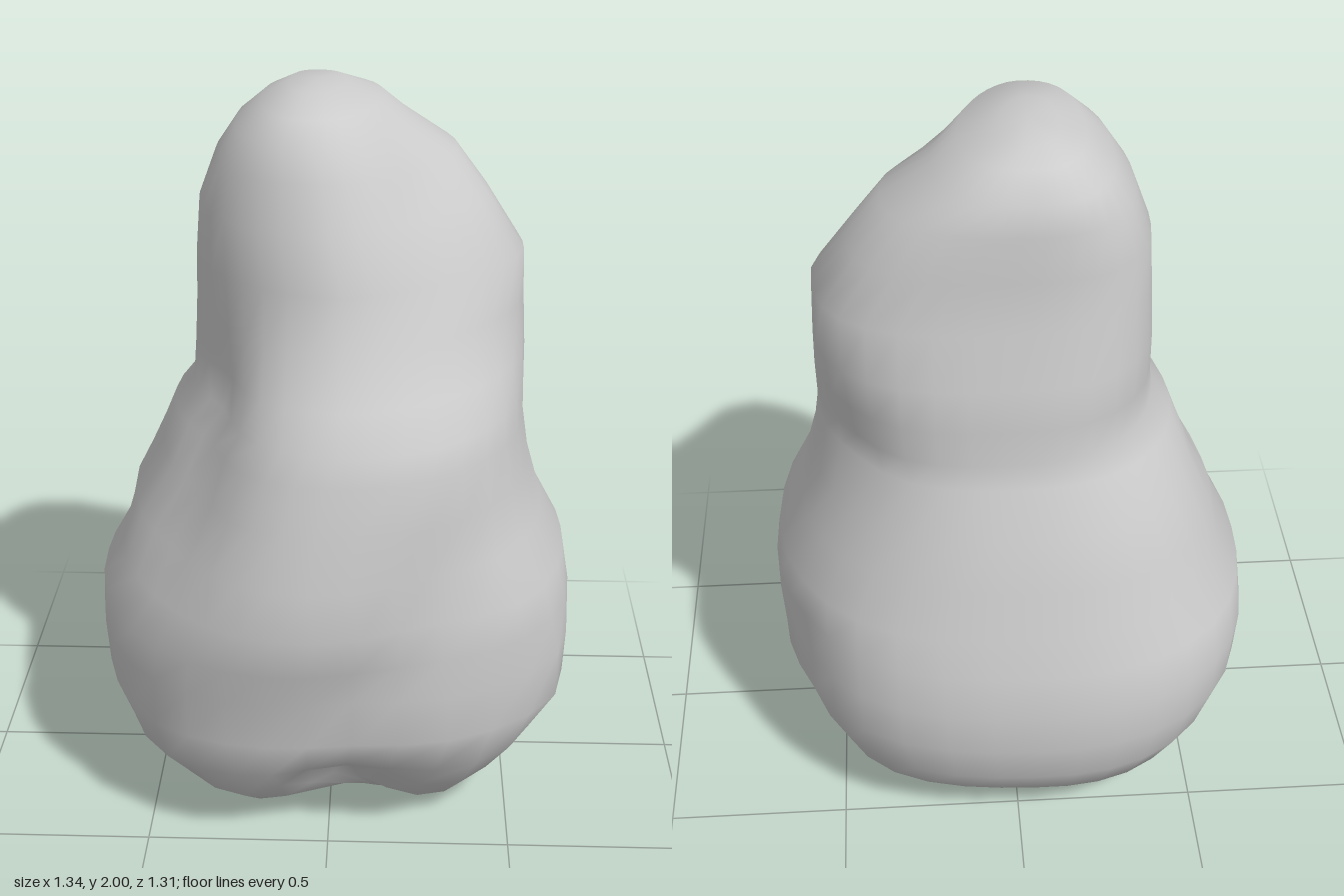
import * as THREE from 'three';

// Outline per level: [y, right x, left x, back z, front z]
const LEVELS = [
  [0.005, -0.06, 0.36, -0.24, 0.24],
  [0.07, -0.37, 0.46, -0.44, 0.40],
  [0.15, -0.54, 0.53, -0.58, 0.48],
  [0.26, -0.61, 0.60, -0.645, 0.58],
  [0.37, -0.66, 0.66, -0.655, 0.60],
  [0.50, -0.67, 0.67, -0.66, 0.61],
  [0.62, -0.66, 0.67, -0.63, 0.65],
  [0.73, -0.60, 0.65, -0.60, 0.66],
  [0.86, -0.575, 0.58, -0.56, 0.645],
  [1.00, -0.51, 0.54, -0.52, 0.61],
  [1.13, -0.45, 0.52, -0.46, 0.58],
  [1.20, -0.39, 0.52, -0.445, 0.55],
  [1.30, -0.38, 0.52, -0.44, 0.50],
  [1.42, -0.375, 0.515, -0.43, 0.41],
  [1.56, -0.37, 0.51, -0.39, 0.38],
  [1.70, -0.36, 0.42, -0.38, 0.33],
  [1.82, -0.315, 0.33, -0.37, 0.28],
  [1.90, -0.26, 0.20, -0.355, 0.24],
  [1.96, -0.19, 0.13, -0.29, 0.19],
  [1.99, -0.12, 0.03, -0.23, 0.04],
];

// Local hollows (negative) and swellings: [x, y, z, radius, amount]
const DENTS = [
  [0.26, 0.74, 0.54, 0.19, -0.07],
  [0.08, 0.52, 0.60, 0.13, -0.03],
  [0.04, 0.14, 0.48, 0.16, -0.13],
  [-0.20, 0.10, 0.40, 0.13, 0.05],
  [0.36, 0.18, 0.34, 0.20, 0.05],
  [0.58, 0.42, 0.28, 0.18, 0.05],
  [0.36, 0.48, 0.48, 0.16, 0.02],
  [-0.42, 0.28, 0.40, 0.20, 0.03],
  [-0.40, 0.98, 0.40, 0.23, -0.10],
  [-0.34, 1.26, 0.28, 0.16, -0.05],
  [-0.50, 0.96, 0.08, 0.15, -0.04],
  [0.45, 1.20, -0.30, 0.15, -0.03],
  [0.58, 0.50, -0.34, 0.20, -0.04],
  [-0.22, 0.10, -0.32, 0.22, 0.03],
  [0.30, 0.10, -0.34, 0.18, 0.03],
  [0.26, 1.72, 0.14, 0.18, -0.05],
];

const SEGMENTS = 36;

// Squareness of the section in each quadrant
function exponent(y, c, s) {
  const { smoothstep } = THREE.MathUtils;
  const neck = smoothstep(y, 1.05, 1.45);
  const crown = smoothstep(y, 1.65, 1.9);
  if (s < 0) return 2.4 + 0.4 * neck * (1 - 0.6 * crown);
  if (c < 0) return 2.25 - 0.3 * neck + 0.55 * crown;
  return 2.25 - 0.7 * neck + 0.2 * crown;
}

function buildBoulder() {
  const positions = [];
  const indices = [];
  const last = LEVELS.length - 1;
  const p = new THREE.Vector3(), outward = new THREE.Vector3();

  LEVELS.forEach(([y, x0, x1, z0, z1]) => {
    // the front ridge runs slightly to the right of the middle
    const cx = THREE.MathUtils.lerp(x0, x1, 0.46);
    const cz = THREE.MathUtils.lerp(z0, z1, 0.46);
    for (let i = 0; i < SEGMENTS; i++) {
      const a = (i / SEGMENTS) * Math.PI * 2;
      const c = Math.cos(a), s = Math.sin(a);
      const n = exponent(y, c, s);
      const r = Math.pow(Math.abs(c) ** n + Math.abs(s) ** n, -1 / n);
      p.set(
        cx + c * r * (c > 0 ? x1 - cx : cx - x0),
        y,
        cz + s * r * (s > 0 ? z1 - cz : cz - z0));
      // dents and swellings, pushed along the outward direction
      let push = 0;
      for (const [dx, dy, dz, radius, amount] of DENTS) {
        const d2 = (p.x - dx) ** 2 + (p.y - dy) ** 2 + (p.z - dz) ** 2;
        push += amount * Math.exp(-d2 / (radius * radius));
      }
      outward.set(p.x - cx, y - THREE.MathUtils.clamp(y, 0.45, 1.7), p.z - cz).normalize();
      p.addScaledVector(outward, push);
      positions.push(p.x, Math.max(p.y, 0), p.z);
    }
  });

  // side walls
  for (let j = 0; j < last; j++) {
    for (let i = 0; i < SEGMENTS; i++) {
      const k = (i + 1) % SEGMENTS;
      const a = j * SEGMENTS + i, b = j * SEGMENTS + k;
      indices.push(a, a + SEGMENTS, b, b, a + SEGMENTS, b + SEGMENTS);
    }
  }
  // end caps
  [0, last].forEach((j) => {
    const [, x0, x1, z0, z1] = LEVELS[j];
    const centre = positions.length / 3;
    positions.push((x0 + x1) / 2, j ? 2 : 0, (z0 + z1) / 2);
    for (let i = 0; i < SEGMENTS; i++) {
      const a = j * SEGMENTS + i, b = j * SEGMENTS + (i + 1) % SEGMENTS;
      if (j) indices.push(centre, b, a);
      else indices.push(centre, a, b);
    }
  });

  const geometry = new THREE.BufferGeometry();
  geometry.setAttribute('position', new THREE.Float32BufferAttribute(positions, 3));
  geometry.setIndex(indices);
  geometry.computeVertexNormals();
  return geometry;
}

export function createModel() {
  const group = new THREE.Group();
  group.name = 'rock';
  const boulder = new THREE.Mesh(buildBoulder(), new THREE.MeshStandardMaterial({ color: 0xcccccc }));
  boulder.name = 'boulder';
  group.add(boulder);
  return group;
}
